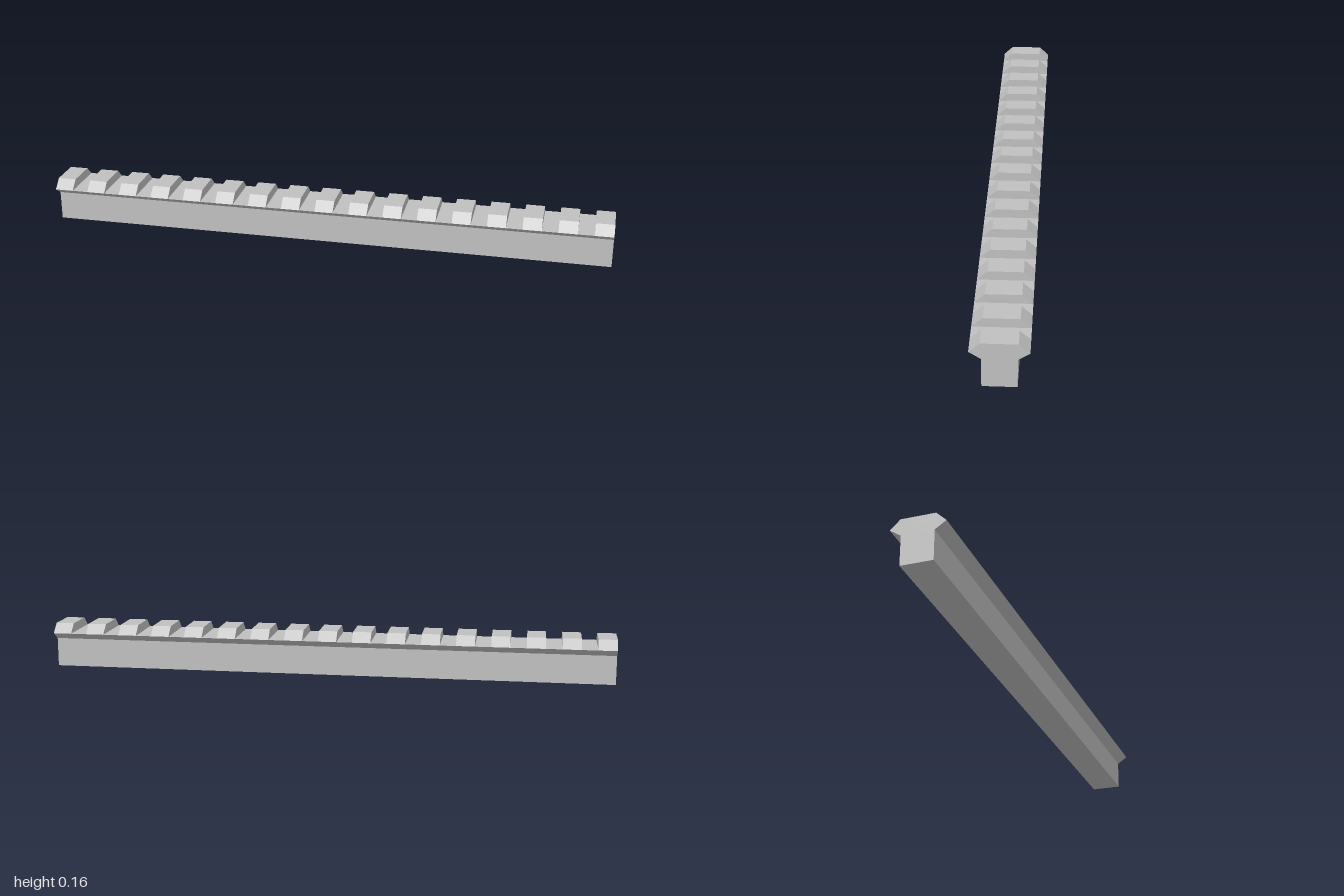
import * as THREE from 'three';

const LENGTH = 2, TEETH = 17, TOOTH_WIDTH = 0.065;
const WAIST = 0.054, WING = 0.091, CROWN = 0.057;
const SHOULDER_Y = 0.102, WING_Y = 0.127, TOP_Y = 0.159;

// Mirrors a half profile [z, y] and extrudes it along x, centred on the origin
function extrudeProfile(half, length) {
  const mirrored = half.map(([z, y]) => [-z, y]).reverse();
  const shape = new THREE.Shape([...half, ...mirrored].map(([z, y]) => new THREE.Vector2(z, y)));
  return new THREE.ExtrudeGeometry(shape, { depth: length, bevelEnabled: false })
    .translate(0, 0, -length / 2)
    .rotateY(Math.PI / 2);
}

export function createModel() {
  const metal = new THREE.MeshStandardMaterial({ color: 0xbfbfbf });
  metal.name = 'grey metal';
  const model = new THREE.Group();
  model.name = 'slottedRail';

  // Continuous stem with undercut wings
  const rail = new THREE.Mesh(
    extrudeProfile([[WAIST, 0], [WAIST, SHOULDER_Y], [WING, WING_Y]], LENGTH), metal);
  rail.name = 'railBody';
  model.add(rail);

  // Bevelled cross teeth, flush with both rail ends
  const teeth = new THREE.Group();
  teeth.name = 'teeth';
  const toothGeometry = extrudeProfile([[WING, WING_Y], [CROWN, TOP_Y]], TOOTH_WIDTH);
  const pitch = (LENGTH - TOOTH_WIDTH) / (TEETH - 1);
  for (let i = 0; i < TEETH; i++) {
    const tooth = new THREE.Mesh(toothGeometry, metal);
    tooth.name = `tooth${i + 1}`;
    tooth.position.x = (i - (TEETH - 1) / 2) * pitch;
    teeth.add(tooth);
  }
  model.add(teeth);
  return model;
}
